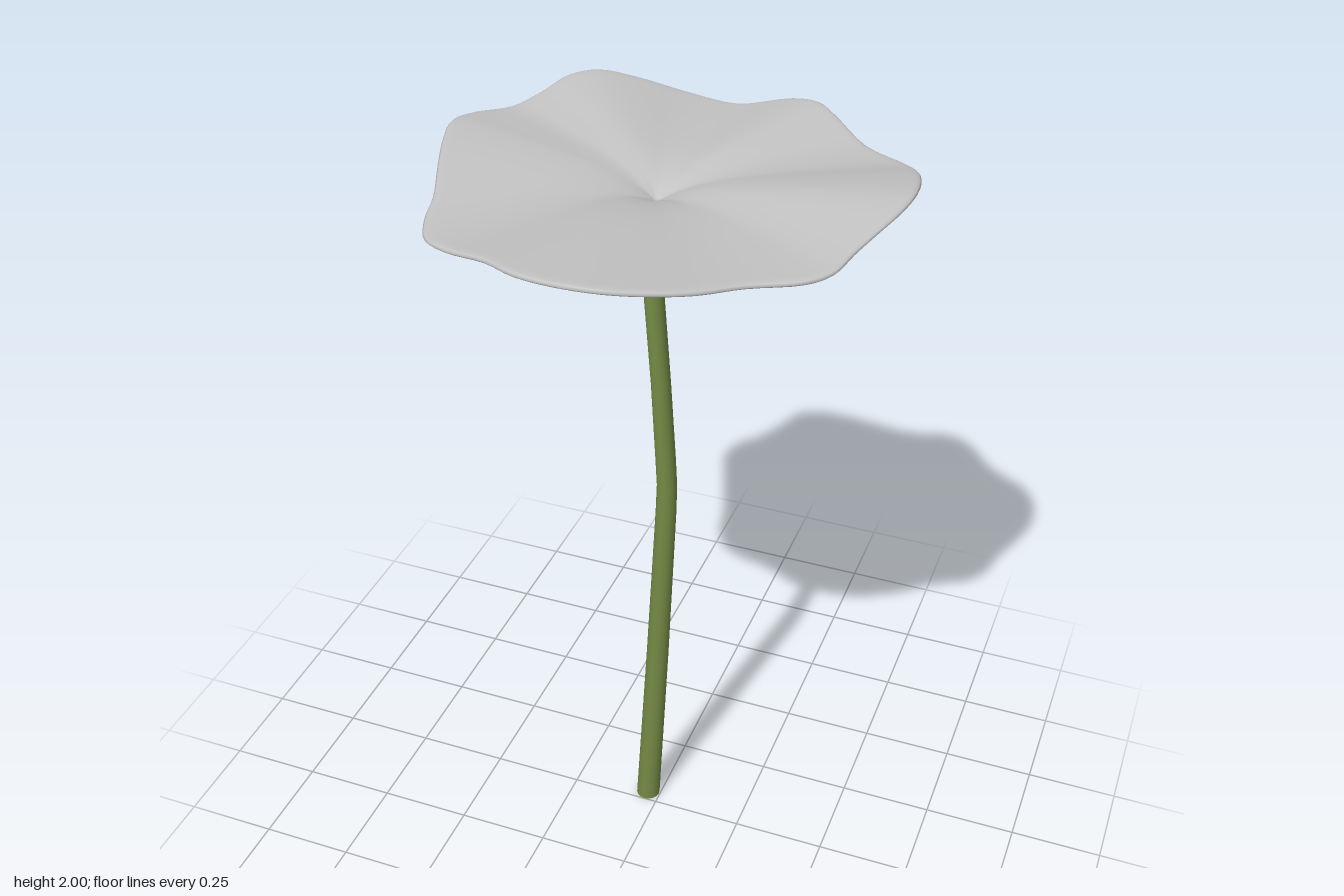
import * as THREE from 'three';

const CENTRE = { x: -0.012, z: -0.04 };

// Leaf rim: x, z, height, going round from the +x side through the front
const RIM = [
  [0.576, -0.118, 1.992], [0.564, -0.03, 1.985], [0.533, 0.056, 1.968], [0.505, 0.134, 1.952],
  [0.486, 0.208, 1.942], [0.443, 0.267, 1.94], [0.328, 0.339, 1.944], [0.25, 0.416, 1.953],
  [0.172, 0.475, 1.965], [0.079, 0.522, 1.977], [-0.026, 0.537, 1.982], [-0.12, 0.519, 1.978],
  [-0.213, 0.463, 1.964], [-0.325, 0.419, 1.945], [-0.396, 0.376, 1.938], [-0.44, 0.289, 1.94],
  [-0.464, 0.196, 1.948], [-0.511, 0.078, 1.962], [-0.557, -0.047, 1.973], [-0.579, -0.14, 1.975],
  [-0.557, -0.217, 1.966], [-0.495, -0.301, 1.957], [-0.452, -0.376, 1.97], [-0.411, -0.466, 1.988],
  [-0.349, -0.516, 1.991], [-0.247, -0.537, 1.976], [-0.123, -0.547, 1.953], [0.017, -0.536, 1.947],
  [0.157, -0.543, 1.98], [0.228, -0.525, 1.988], [0.281, -0.488, 1.978], [0.384, -0.404, 1.95],
  [0.498, -0.335, 1.952], [0.551, -0.248, 1.975],
];

// Closed leaf skin: rings run from the top centre over the rim to the bottom centre
function leafGeometry() {
  const around = 136, half = 0.007;
  const rim = new THREE.CatmullRomCurve3(
    RIM.map(([x, z, y]) => new THREE.Vector3(x, y, z)), true).getPoints(around);
  const steps = [0, 0.02, 0.05, 0.09, 0.14, 0.2, 0.28, 0.37, 0.47, 0.58, 0.69, 0.8, 0.89, 0.95, 0.98, 0.993];
  const rings = [
    ...steps.map(t => [t, half * (t > 0.99 ? 0.65 : 1)]),
    [1, 0],
    ...steps.slice().reverse().map(t => [t, -half * (t > 0.99 ? 0.65 : 1)]),
  ];
  const positions = [], index = [];
  for (const [t, lift] of rings) {
    // central funnel flattening outwards, with the rim's waves growing towards the edge
    const funnel = 1.899 + 0.056 * (1 - Math.exp(-6.5 * t));
    for (let j = 0; j < around; j++) {
      const p = rim[j];
      positions.push(
        CENTRE.x + (p.x - CENTRE.x) * t,
        funnel + (p.y - 1.955) * Math.pow(t, 1.15) + lift,
        CENTRE.z + (p.z - CENTRE.z) * t);
    }
  }
  for (let i = 0; i < rings.length - 1; i++) {
    for (let j = 0; j < around; j++) {
      const k = (j + 1) % around;
      const a = i * around + j, b = i * around + k;
      const c = a + around, d = b + around;
      if (i > 0) index.push(a, b, d);
      if (i < rings.length - 2) index.push(a, d, c);
    }
  }
  const g = new THREE.BufferGeometry();
  g.setAttribute('position', new THREE.Float32BufferAttribute(positions, 3));
  g.setIndex(index);
  g.computeVertexNormals();
  // the two centre points face straight up and down
  const n = g.attributes.normal, last = (rings.length - 1) * around;
  for (let j = 0; j < around; j++) {
    n.setXYZ(j, 0, 1, 0);
    n.setXYZ(last + j, 0, -1, 0);
  }
  return g;
}

// Stem path: height, x offset, radius
const STEM = [
  [0, -0.036, 0.033], [0.55, -0.007, 0.03], [1.04, 0.016, 0.027], [1.12, 0.018, 0.026],
  [1.2, 0.014, 0.026], [1.42, 0.001, 0.025], [1.65, -0.016, 0.025], [1.9, -0.031, 0.028],
];

function stemGeometry() {
  const g = new THREE.CylinderGeometry(1, 1, STEM.length - 1, 16, STEM.length - 1);
  const p = g.attributes.position;
  for (let i = 0; i < p.count; i++) {
    const [y, x, r] = STEM[Math.round(p.getY(i) + (STEM.length - 1) / 2)];
    p.setXYZ(i, x + p.getX(i) * r, y, -0.034 + p.getZ(i) * r);
  }
  return g;
}

export function createModel() {
  const leafGrey = new THREE.MeshStandardMaterial({ color: 0xc2c2c2 });
  leafGrey.name = 'leafGrey';
  const stemGreen = new THREE.MeshStandardMaterial({ color: 0x748a45 });
  stemGreen.name = 'stemGreen';

  const model = new THREE.Group();
  model.name = 'lilyLeaf';
  const add = (name, geometry, material) => {
    const mesh = new THREE.Mesh(geometry, material);
    mesh.name = name;
    model.add(mesh);
  };
  add('stem', stemGeometry(), stemGreen);
  add('leaf', leafGeometry(), leafGrey);
  return model;
}
